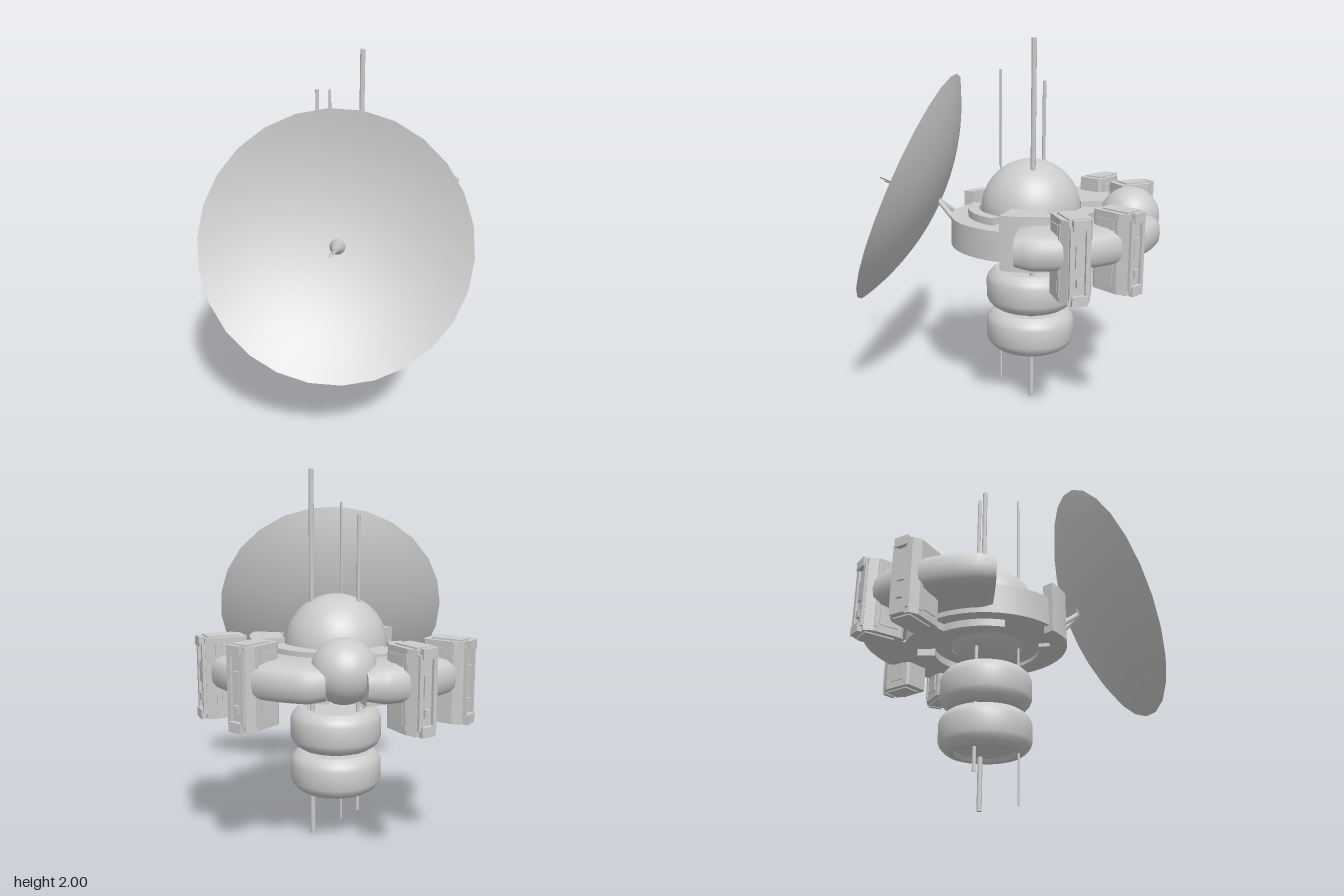
import * as THREE from 'three';
import { toCreasedNormals } from 'three/addons/utils/BufferGeometryUtils.js';

const mat = new THREE.MeshStandardMaterial({ color: 0xcccccc });
const thin = new THREE.MeshStandardMaterial({ color: 0xcccccc, side: THREE.DoubleSide });
const rad = THREE.MathUtils.degToRad;
const up = new THREE.Vector3(0, 1, 0);

function add(parent, name, geo, x = 0, y = 0, z = 0, material = mat) {
  const mesh = new THREE.Mesh(geo, material);
  mesh.name = name;
  mesh.position.set(x, y, z);
  parent.add(mesh);
  return mesh;
}

const lathe = (pts, n = 48) =>
  toCreasedNormals(new THREE.LatheGeometry(pts.map(p => new THREE.Vector2(...p)), n), 0.5);

// Flat curved block; angles in degrees run from +x towards +z
function sector(r0, r1, y0, y1, a0, a1) {
  const s = new THREE.Shape();
  s.absarc(0, 0, r1, rad(a0), rad(a1), false);
  s.absarc(0, 0, r0, rad(a1), rad(a0), true);
  const g = new THREE.ExtrudeGeometry(s, { depth: y1 - y0, bevelEnabled: false, curveSegments: 16 });
  g.rotateX(Math.PI / 2).translate(0, y1, 0);
  return toCreasedNormals(g, 0.5);
}

// Curved tank: a rounded cross-section swept around the axis, narrowing at both ends
function tank(a0, a1, rMid, hw) {
  const hh = 0.095, n = 20, steps = 24, taper = 7;
  const pos = [], idx = [];
  for (let i = 0; i <= steps; i++) {
    const deg = a0 + (a1 - a0) * i / steps, a = rad(deg);
    const edge = Math.min(1, (deg - a0) / taper, (a1 - deg) / taper);
    const k = 0.84 + 0.16 * edge;
    for (let j = 0; j < n; j++) {
      const u = j / n * Math.PI * 2, c = Math.cos(u), s = Math.sin(u);
      const r = rMid + k * hw * Math.sign(c) * Math.abs(c) ** 0.6;
      pos.push(r * Math.cos(a), k * hh * Math.sign(s) * Math.abs(s) ** 0.6, r * Math.sin(a));
      if (i > 0) {
        const p = (i - 1) * n, q = i * n, m = (j + 1) % n;
        idx.push(p + j, p + m, q + j, p + m, q + m, q + j);
      }
    }
  }
  const last = steps * n;
  for (let j = 1; j < n - 1; j++) idx.push(0, j + 1, j, last, last + j, last + j + 1);
  const g = new THREE.BufferGeometry();
  g.setAttribute('position', new THREE.Float32BufferAttribute(pos, 3));
  g.setIndex(idx);
  return toCreasedNormals(g, 0.7);
}

// Tall equipment pod; local +x points away from the axis
function pod() {
  const g = new THREE.Group();
  g.name = 'pod';
  const s = new THREE.Shape([[-0.12, -0.065], [-0.105, -0.075], [0.05, -0.08], [0.095, -0.055],
    [0.095, 0.055], [0.05, 0.08], [-0.105, 0.075], [-0.12, 0.065]].map(p => new THREE.Vector2(...p)));
  const body = new THREE.ExtrudeGeometry(s, { depth: 0.41, bevelEnabled: false });
  add(g, 'podBody', body.rotateX(Math.PI / 2), 0, 0.205, 0);
  const box = (name, w, h, d, x, y, z) => add(g, name, new THREE.BoxGeometry(w, h, d), x, y, z);
  for (const k of [-1, 1]) {
    // Outer face strips and end caps
    box('faceStrip', 0.02, 0.36, 0.022, 0.1, 0, k * 0.041);
    box('faceCap', 0.025, 0.05, 0.08, 0.107, k * 0.185, 0);
    box('endPlate', 0.16, 0.01, 0.1, 0, k * 0.207, 0);
    // Side panels and rails
    box('sidePanel', 0.1, 0.16, 0.012, -0.03, 0.09, k * 0.077);
    box('sidePanel', 0.1, 0.13, 0.012, -0.03, -0.1, k * 0.077);
    box('sideRail', 0.018, 0.36, 0.012, 0.04, 0, k * 0.079);
  }
  box('faceHatch', 0.02, 0.11, 0.04, 0.096, 0.03, 0);
  box('faceLatch', 0.02, 0.04, 0.03, 0.1, -0.1, 0);
  return g;
}

// Cylinder between two points
function strut(parent, name, a, b, r) {
  const d = b.clone().sub(a);
  const m = add(parent, name, new THREE.CylinderGeometry(r, r, d.length(), 8));
  m.position.copy(a).addScaledVector(d, 0.5);
  m.quaternion.setFromUnitVectors(up, d.normalize());
}

// Group whose local y axis points along a direction
function aimed(name, position, direction) {
  const g = new THREE.Group();
  g.name = name;
  g.position.set(...position);
  g.quaternion.setFromUnitVectors(up, new THREE.Vector3(...direction).normalize());
  return g;
}

function dishAntenna() {
  const g = new THREE.Group();
  g.name = 'dishAntenna';
  const R = 0.686, depth = 0.175, pts = [];
  for (let i = 0; i <= 12; i++) {
    const t = i / 12;
    pts.push(new THREE.Vector2(R * t, depth * (t ** 2.1 - 1)));
  }
  const bowl = aimed('bowl', [-0.36, 1.178, 0.38], [-0.652, 0.386, 0.652]);
  add(bowl, 'dishBowl', new THREE.LatheGeometry(pts, 26), 0, 0, 0, thin);
  // Feed horn and its two thin prongs
  const feed = aimed('feed', [-0.243, 1.105, 0.27], [-0.71, 0.34, 0.63]);
  add(feed, 'feedHorn', new THREE.CylinderGeometry(0.012, 0.042, 0.15, 16), 0, 0.075, 0);
  add(feed, 'feedProng', new THREE.BoxGeometry(0.012, 0.23, 0.014), 0.008, 0.25, 0);
  add(feed, 'feedProng', new THREE.BoxGeometry(0.012, 0.2, 0.014), -0.008, 0.235, 0);
  g.add(bowl, feed);
  return g;
}

export function createModel() {
  const model = new THREE.Group();
  const hub = new THREE.Group();
  hub.name = 'hub';
  hub.position.set(0.112, 0, -0.107);
  model.add(hub);

  // Central dome sphere and disc
  add(hub, 'coreSphere', new THREE.SphereGeometry(0.277, 48, 32), 0, 1.075, 0);
  add(hub, 'disc', lathe([[0.2, 0.88], [0.445, 0.88], [0.445, 1.04], [0.2, 1.04], [0.2, 0.88]], 64));

  // Raised curved brackets and rim clamps on the disc
  for (const [r0, r1, y0, y1, a0, a1] of [
    [0.29, 0.465, 0.84, 1.13, 27, 60], [0.29, 0.39, 0.84, 1.1, -37, 27],
    [0.29, 0.46, 0.84, 1.1, -95, -62], [0.29, 0.37, 0.84, 1.08, -147, -95],
    [0.29, 0.35, 0.86, 1.08, 75, 150], [0.41, 0.47, 0.84, 1.12, 163, 181]]) {
    add(hub, 'discBracket', sector(r0, r1, y0, y1, a0, a1));
  }

  // Lower ring modules, recessed above and below
  const ring = lathe([[0, -0.09], [0.15, -0.09], [0.165, -0.11], [0.2, -0.11], [0.222, -0.095], [0.24, -0.075],
    [0.25, -0.05], [0.25, 0.05], [0.24, 0.075], [0.222, 0.095], [0.2, 0.11], [0.165, 0.11], [0.15, 0.09], [0, 0.09]]);
  for (const y of [0.38, 0.62]) add(hub, 'lowerRing', ring, 0.002, y, 0);

  // Two curved tanks with a ball tank between them
  add(hub, 'sideTank', tank(-39, 47, 0.54, 0.18), 0, 0.995, 0);
  add(hub, 'backTank', tank(-136, -55, 0.56, 0.185), 0, 0.995, 0);
  add(hub, 'ballTank', new THREE.SphereGeometry(0.16, 32, 24), 0.375, 1.045, -0.4);

  // Pods clamped to the tanks
  for (const [a, r] of [[22, 0.645], [-4, 0.645], [-76, 0.672], [-100, 0.675]]) {
    const p = pod();
    p.position.set(r * Math.cos(rad(a)), 0.965, r * Math.sin(rad(a)));
    p.rotation.y = -rad(a);
    hub.add(p);
  }

  // Mast antennas running through the hub
  for (const [x, z, y0, y1, r] of [[0.22, -0.03, 0, 2, 0.014], [-0.035, -0.01, 0, 1.835, 0.007], [0.073, -0.232, 0.15, 1.77, 0.01]]) {
    add(model, 'mast', new THREE.CylinderGeometry(r, r, y1 - y0, 12), x, (y0 + y1) / 2, z);
  }

  // Dish and its mounting struts
  model.add(dishAntenna());
  const apex = new THREE.Vector3(-0.25, 1.11, 0.27);
  for (const [x, y, z] of [[-0.24, 0.98, 0.1], [-0.08, 0.98, 0.24], [-0.16, 0.94, 0.16]]) {
    strut(model, 'dishStrut', new THREE.Vector3(x, y, z), apex, 0.015);
  }
  return model;
}
